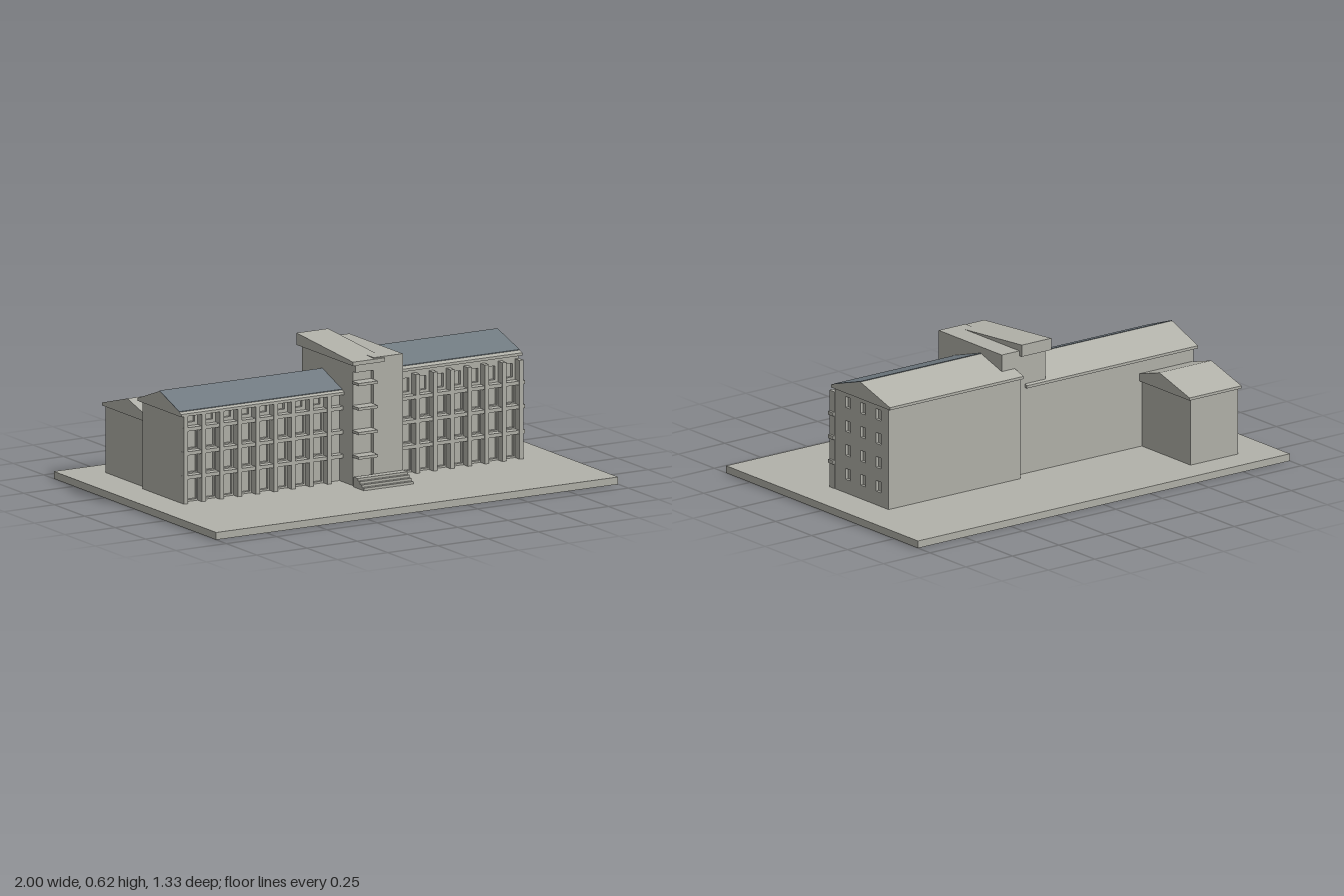
import * as THREE from 'three';

const stone = new THREE.MeshStandardMaterial({ color: 0xb2b2aa });
stone.name = 'stone grey';
const slate = new THREE.MeshStandardMaterial({ color: 0x717b82 });
slate.name = 'slate blue';

const GROUND = 0.032;

function add(parent, name, geometry, material = stone) {
  const mesh = new THREE.Mesh(geometry, material);
  mesh.name = name;
  parent.add(mesh);
  return mesh;
}

// Box given by its limits on each axis
function box(parent, name, [x0, x1], [y0, y1], [z0, z1]) {
  const g = new THREE.BoxGeometry(x1 - x0, y1 - y0, z1 - z0);
  g.translate((x0 + x1) / 2, (y0 + y1) / 2, (z0 + z1) / 2);
  return add(parent, name, g);
}

// Profile of (z, y) points extruded along x
function prism(parent, name, x0, x1, points, material) {
  const shape = new THREE.Shape(points.map(([z, y]) => new THREE.Vector2(z, y)));
  const g = new THREE.ExtrudeGeometry(shape, { depth: x1 - x0, bevelEnabled: false });
  g.rotateY(-Math.PI / 2).translate(x1, 0, 0);
  return add(parent, name, g, material);
}

// Flat panel with rectangular openings [centre, width, bottom, top]
function panel(u0, u1, y0, y1, depth, openings) {
  const rect = (Type, a, b, c, d) => new Type([
    new THREE.Vector2(a, c), new THREE.Vector2(b, c), new THREE.Vector2(b, d), new THREE.Vector2(a, d),
  ]);
  const shape = rect(THREE.Shape, u0, u1, y0, y1);
  for (const [c, w, bottom, top] of openings) {
    shape.holes.push(rect(THREE.Path, c - w / 2, c + w / 2, bottom, top));
  }
  return new THREE.ExtrudeGeometry(shape, { depth, bevelEnabled: false });
}

// Gabled roof with level eaves and a slate front slope
function gableRoof(parent, x0, x1, front, back, eave, ridge, slateFront) {
  const mid = (front + back) / 2;
  prism(parent, 'roof', x0, x1, [
    [front, eave - 0.012], [front, eave], [mid, ridge], [back, eave], [back, eave - 0.012],
  ]);
  if (slateFront === undefined) return;
  const low = eave + (ridge - eave) * (front - slateFront) / (front - mid);
  prism(parent, 'slateSlope', x0, x1, [
    [slateFront, low], [slateFront, low + 0.003], [mid, ridge + 0.003], [mid, ridge],
  ], slate);
}

// Recessed windows, upright fins and floor ledges of a street front
function facade(parent, o) {
  const openings = [];
  for (let i = 0; i < o.bays; i++) {
    const c = o.firstFin + (i + 0.5) * o.pitch;
    for (let f = 0; f < 3; f++) {
      openings.push([c, 0.056, f ? o.ledges[f - 1] + 0.014 : 0.04, o.ledges[f] - 0.012]);
    }
    openings.push([c, 0.038, ...o.topWindow]);
  }
  const wall = panel(o.x0, o.x1, GROUND, o.top, 0.015, openings);
  add(parent, 'frontWall', wall.translate(0, 0, o.wall - 0.015));
  for (let i = 0; i <= o.bays; i++) {
    const x = o.firstFin + i * o.pitch;
    box(parent, 'fin', [x - 0.01, x + 0.01], [GROUND, o.finTop], [o.wall, o.finFront]);
  }
  for (const y of o.ledges) {
    box(parent, 'floorLedge', [o.x0, o.ledgeEnd], [y - 0.008, y + 0.008], [o.wall, o.finFront - 0.003]);
  }
}

function leftOrRightWing(name) {
  const wing = new THREE.Group();
  wing.name = name;
  return wing;
}

export function createModel() {
  const model = new THREE.Group();
  model.name = 'building';
  box(model, 'groundSlab', [-1, 1], [0, GROUND], [-0.667, 0.667]);

  // Taller wing on +x
  const tall = leftOrRightWing('tallWing');
  model.add(tall);
  box(tall, 'body', [0.12, 0.817], [GROUND, 0.485], [-0.242, 0.115]);
  facade(tall, {
    x0: 0.18, x1: 0.83, top: 0.485, wall: 0.13, finFront: 0.167, finTop: 0.464,
    firstFin: 0.222, pitch: 0.0857, bays: 7, ledges: [0.15, 0.26, 0.365],
    topWindow: [0.385, 0.445], ledgeEnd: 0.842,
  });
  const endWindows = [];
  for (const z of [0.04, -0.065, -0.172]) {
    for (const y of [0.117, 0.224, 0.331, 0.438]) endWindows.push([-z, 0.034, y - 0.024, y + 0.024]);
  }
  const endWall = panel(-0.13, 0.242, GROUND, 0.485, 0.015, endWindows);
  add(tall, 'endWall', endWall.rotateY(Math.PI / 2).translate(0.815, 0, 0));
  gableRoof(tall, 0.115, 0.835, 0.153, -0.258, 0.492, 0.555, 0.13);

  // Lower wing on -x
  const low = leftOrRightWing('lowWing');
  model.add(low);
  box(low, 'body', [-0.845, 0.12], [GROUND, 0.42], [-0.196, 0.097]);
  facade(low, {
    x0: -0.845, x1: -0.045, top: 0.42, wall: 0.11, finFront: 0.145, finTop: 0.418,
    firstFin: -0.834, pitch: 0.0893, bays: 8, ledges: [0.145, 0.25, 0.355],
    topWindow: [0.378, 0.412], ledgeEnd: -0.045,
  });
  gableRoof(low, -0.86, 0.06, 0.15, -0.21, 0.427, 0.493, 0.133);

  // Rear annex
  const annex = new THREE.Group();
  annex.name = 'rearAnnex';
  model.add(annex);
  box(annex, 'body', [-0.823, -0.568], [GROUND, 0.33], [-0.535, -0.19]);
  gableRoof(annex, -0.835, -0.555, -0.125, -0.545, 0.337, 0.397);

  // Stair tower with a recessed balcony bay
  const tower = new THREE.Group();
  tower.name = 'stairTower';
  model.add(tower);
  box(tower, 'mainShaft', [0.04, 0.185], [GROUND, 0.585], [-0.196, 0.243]);
  box(tower, 'balconyBay', [-0.05, 0.04], [GROUND, 0.57], [-0.196, 0.222]);
  box(tower, 'bayLintel', [-0.05, 0.04], [0.53, 0.57], [0.222, 0.243]);
  for (let i = 0; i < 4; i++) {
    const y = 0.163 + i * 0.107;
    box(tower, 'balcony', [-0.055, 0.04], [y - 0.006, y + 0.006], [0.222, 0.277]);
  }
  prism(tower, 'slopingRoof', -0.068, 0.09, [
    [0.252, 0.563], [0.252, 0.58], [-0.213, 0.615], [-0.213, 0.563],
  ]);

  // Entrance steps
  const steps = new THREE.Group();
  steps.name = 'entranceSteps';
  model.add(steps);
  for (let i = 0; i < 4; i++) {
    box(steps, 'step', [-0.06, 0.188], [GROUND, 0.043 + i * 0.011], [0.243, 0.327 - i * 0.016]);
  }
  return model;
}
